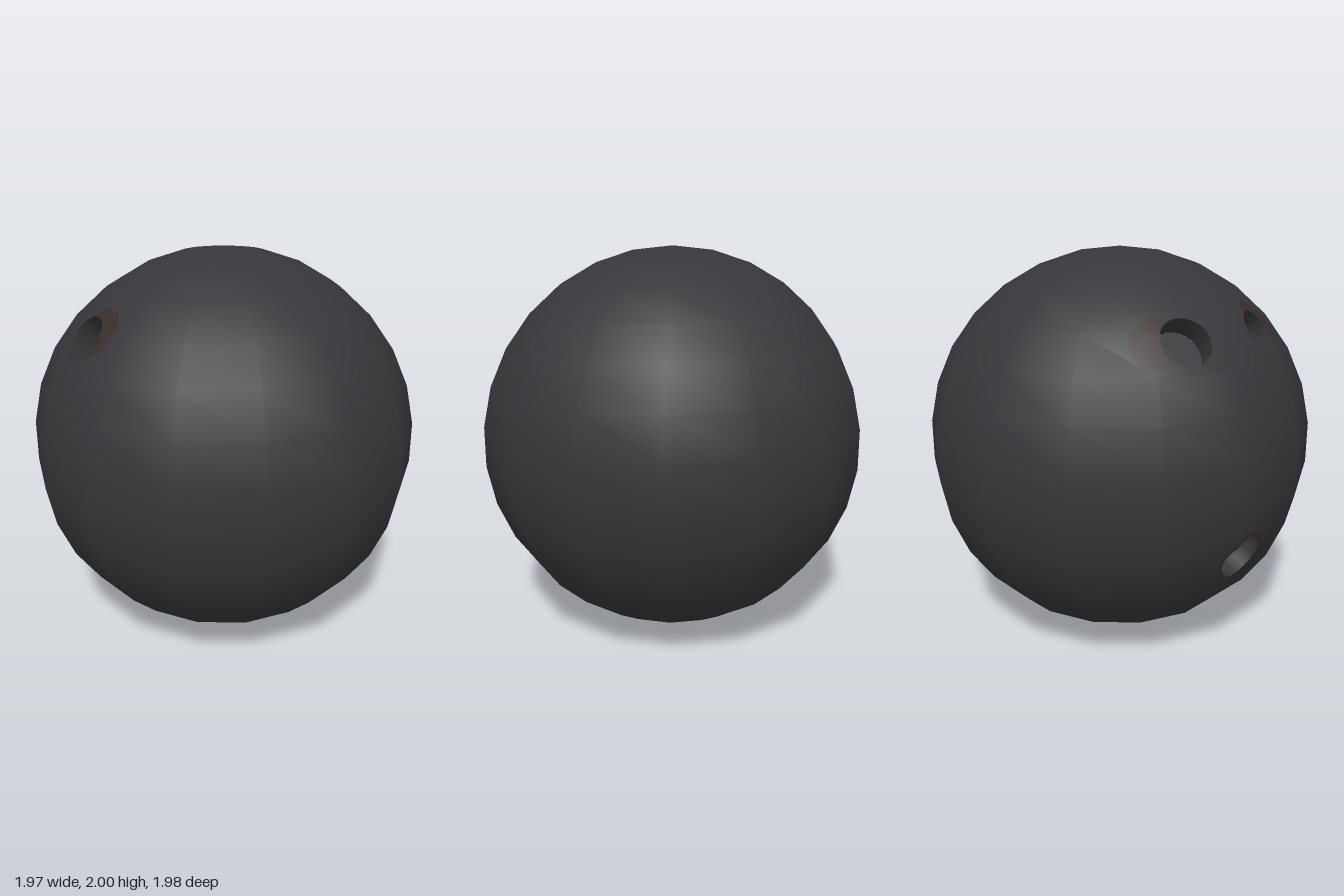
import * as THREE from 'three';

const V = (x, y, z) => new THREE.Vector3(x, y, z);
const HOLE_FLOOR = 0.86; // distance of a hole's floor from the ball centre

// A straight round (many-sided) cutter running outward from the ball centre
function cutter(axis, radius, sides) {
  axis.normalize();
  const u = V(0, 1, 0).cross(axis).normalize();
  const v = axis.clone().cross(u);
  const planes = [];
  for (let i = 0; i < sides; i++) {
    const a = (i / sides) * Math.PI * 2;
    planes.push(u.clone().multiplyScalar(Math.cos(a)).addScaledVector(v, Math.sin(a)));
  }
  return { axis, radius, planes };
}

// Split a convex polygon into the pieces outside a cutter and the piece inside it
function split(poly, { axis, radius, planes }) {
  if (poly.every(p => p.dot(axis) < 0.2)) return { outside: [poly], inside: null };
  const outside = [];
  let rest = poly;
  for (const n of planes) {
    const inn = [], out = [];
    rest.forEach((a, i) => {
      const b = rest[(i + 1) % rest.length];
      const da = a.dot(n) - radius, db = b.dot(n) - radius;
      if (da <= 0) inn.push(a);
      if (da >= 0) out.push(a);
      if (da * db < 0) {
        const p = a.clone().lerp(b, da / (da - db));
        inn.push(p);
        out.push(p);
      }
    });
    if (out.length > 2) outside.push(out);
    rest = inn;
    if (rest.length < 3) return { outside: [poly], inside: null };
  }
  return { outside, inside: rest };
}

// Fan-triangulate polygons; normalAt gives the smooth normal at a point
function polygonGeometry(polys, normalAt) {
  const pos = [], nor = [];
  for (const p of polys) {
    for (let i = 1; i < p.length - 1; i++) {
      for (const q of [p[0], p[i], p[i + 1]]) {
        pos.push(q.x, q.y, q.z);
        nor.push(...normalAt(q).toArray());
      }
    }
  }
  const g = new THREE.BufferGeometry();
  g.setAttribute('position', new THREE.Float32BufferAttribute(pos, 3));
  g.setAttribute('normal', new THREE.Float32BufferAttribute(nor, 3));
  return g;
}

export function createModel() {
  const charcoal = new THREE.MeshStandardMaterial({ color: 0x37373b });
  charcoal.name = 'charcoal';
  const brown = new THREE.MeshStandardMaterial({ color: 0x382e2c });
  brown.name = 'dark brown';

  const model = new THREE.Group();
  model.name = 'bowlingBall';
  const add = (name, geometry, material) => {
    const m = new THREE.Mesh(geometry, material);
    m.name = name;
    model.add(m);
    return m;
  };

  const holes = [
    cutter(V(-0.51, 0.64, -0.575), 0.122, 24),
    cutter(V(-0.764, 0.63, -0.13), 0.122, 24),
    cutter(V(-0.786, -0.4, -0.473), 0.122, 24),
  ];
  const patches = [
    cutter(V(-0.4, 0.636, -0.66), 0.125, 20),
    cutter(V(-0.74, 0.67, -0.055), 0.13, 8),
    cutter(V(-0.788, -0.384, -0.483), 0.135, 20),
  ];

  // Coarse sphere as a list of triangles
  const sphere = new THREE.SphereGeometry(1, 15, 15, Math.PI).toNonIndexed();
  const sp = sphere.attributes.position;
  let shell = [];
  for (let i = 0; i < sp.count; i += 3) {
    shell.push([0, 1, 2].map(k => new THREE.Vector3().fromBufferAttribute(sp, i + k)));
  }

  // Drill the finger holes, with walls following the faceted rim
  holes.forEach((hole, h) => {
    const next = [], walls = [];
    for (const poly of shell) {
      const { outside, inside } = split(poly, hole);
      next.push(...outside);
      if (!inside) continue;
      inside.forEach((a, i) => {
        const b = inside[(i + 1) % inside.length];
        const onRim = hole.planes.some(n =>
          Math.abs(a.dot(n) - hole.radius) < 1e-6 && Math.abs(b.dot(n) - hole.radius) < 1e-6);
        if (!onRim) return;
        const drop = p => p.clone().addScaledVector(hole.axis, HOLE_FLOOR - p.dot(hole.axis));
        walls.push([a, b, drop(b), drop(a)]);
      });
    }
    shell = next;
    const inward = p => hole.axis.clone().multiplyScalar(p.dot(hole.axis)).sub(p).normalize();
    add('holeWall' + (h + 1), polygonGeometry(walls, inward), charcoal);
    const floor = add('holeFloor' + (h + 1), new THREE.CircleGeometry(hole.radius * 1.01, 24), charcoal);
    floor.position.copy(hole.axis).multiplyScalar(HOLE_FLOOR);
    floor.quaternion.setFromUnitVectors(V(0, 0, 1), hole.axis);
  });

  // Separate the brown patches beside the holes from the shell
  const radial = p => p.clone().normalize();
  patches.forEach((patch, i) => {
    const next = [], stained = [];
    for (const poly of shell) {
      const { outside, inside } = split(poly, patch);
      next.push(...outside);
      if (inside) stained.push(inside);
    }
    shell = next;
    add('brownPatch' + (i + 1), polygonGeometry(stained, radial), brown);
  });
  add('ballShell', polygonGeometry(shell, radial), charcoal);

  model.position.set(-0.011, 1, 0);
  const root = new THREE.Group();
  root.name = 'ball';
  root.add(model);
  return root;
}
